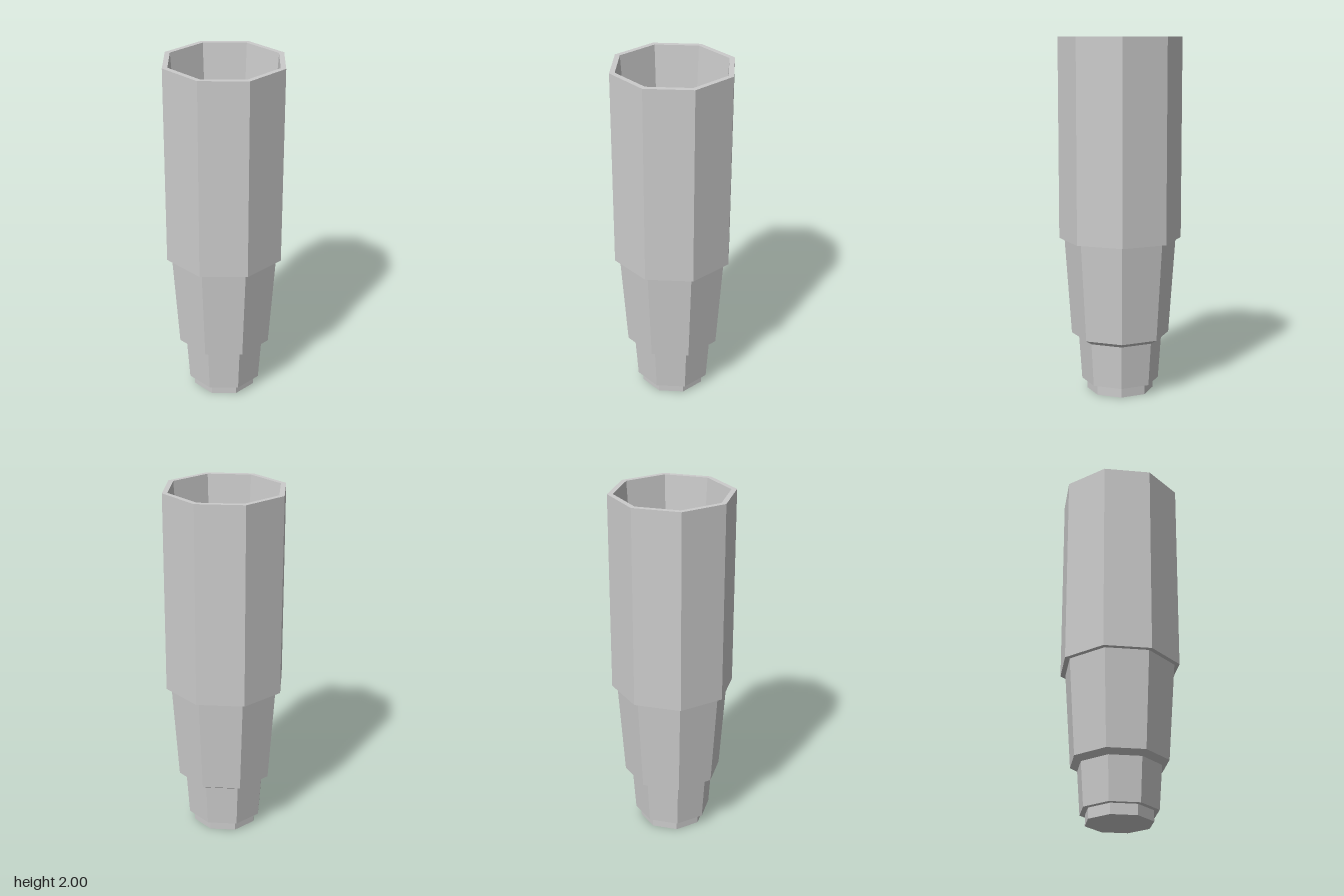
import * as THREE from 'three';

const SIDES = 8;

export function createModel() {
  const group = new THREE.Group();
  const material = new THREE.MeshStandardMaterial({ color: 0xcccccc, flatShading: true });

  // Revolves a profile of [radius, height] points into an eight-sided shell.
  // Outer walls run upwards, inner walls downwards.
  function shell(name, profile) {
    const points = profile.map(([r, y]) => new THREE.Vector2(r, y));
    const mesh = new THREE.Mesh(new THREE.LatheGeometry(points, SIDES), material);
    mesh.name = name;
    group.add(mesh);
  }

  // Closed foot
  shell('foot', [[0, 0], [0.188, 0], [0.188, 0.06]]);
  // Narrow neck with a flat step underneath
  shell('neck', [[0.188, 0.06], [0.218, 0.06], [0.235, 0.305]]);
  // Tapered sleeve with a sloped lower edge
  shell('sleeve', [[0.235, 0.305], [0.276, 0.33], [0.314, 0.88]]);
  // Straight upper barrel with a flat rim
  shell('barrel', [[0.314, 0.88], [0.343, 0.88], [0.343, 2], [0.313, 2]]);
  // Tapered bore, ledge and smaller recess with a floor
  shell('bore', [[0.313, 2], [0.235, 0.88], [0.187, 0.88], [0.165, 0.6], [0, 0.6]]);

  return group;
}
